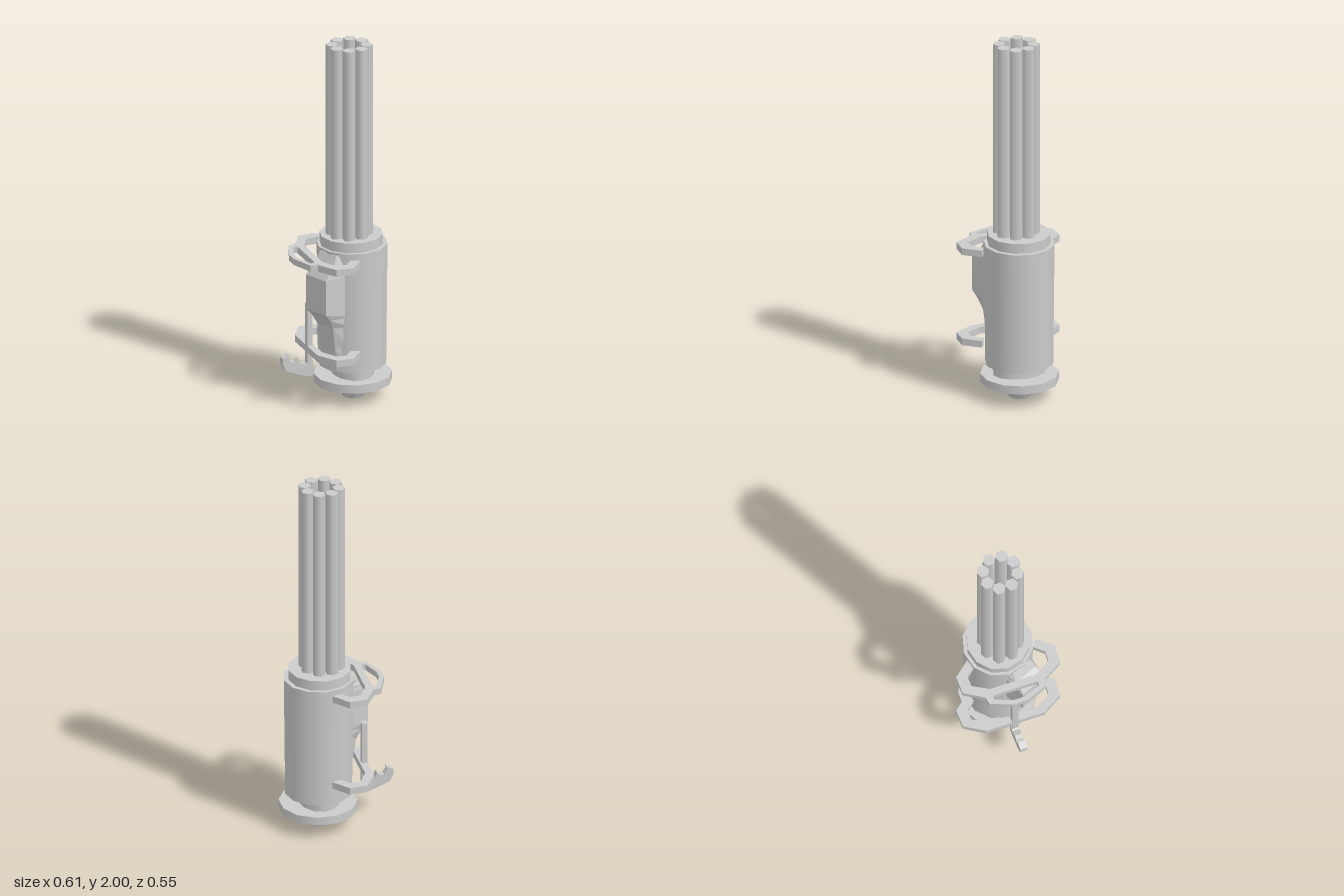
import * as THREE from 'three';

const CX = 0.1, CZ = -0.008; // axis of the housing

export function createModel() {
  const group = new THREE.Group();
  const smooth = new THREE.MeshStandardMaterial({ color: 0xcccccc, side: THREE.DoubleSide });
  const flat = new THREE.MeshStandardMaterial({ color: 0xcccccc, flatShading: true, side: THREE.DoubleSide });

  function add(name, geometry, material = smooth) {
    const mesh = new THREE.Mesh(geometry, material);
    mesh.name = name;
    group.add(mesh);
    return mesh;
  }

  // Upright cylinder between two heights, optionally oval
  function drum(name, rTop, rBottom, y0, y1, { x = CX, z = CZ, sides = 12, turn = 0, squash = 1 } = {}) {
    const geo = new THREE.CylinderGeometry(rTop, rBottom, y1 - y0, sides);
    geo.rotateY(turn).scale(squash, 1, 1).translate(x, (y0 + y1) / 2, z);
    return add(name, geo);
  }

  // Housing, collar, neck and base
  drum('housing', 0.19, 0.183, 0.19, 0.87);
  drum('collar', 0.17, 0.17, 0.86, 0.925, { x: 0.095 });
  drum('neck', 0.146, 0.146, 0.12, 0.2, { squash: 0.75 });
  drum('baseFlange', 0.21, 0.21, 0.085, 0.132, { x: 0.103, turn: Math.PI / 12 });
  drum('baseCone', 0.105, 0.058, 0, 0.09, { x: 0.107 });

  // Ring of eight hexagonal barrels
  for (let i = 0; i < 8; i++) {
    const a = (i + 0.5) * Math.PI / 4;
    drum('barrel', 0.035, 0.035, 0.9, 2, {
      x: 0.081 + 0.092 * Math.cos(a), z: 0.092 * Math.sin(a), sides: 6,
    });
  }

  // Flat bar: outline given for one half as [x, z], mirrored across z = 0
  function mirroredBar(name, outer, inner, y, height) {
    const flip = (pts) => pts.map(([x, z]) => [x, -z]).reverse();
    const outline = [...outer, ...flip(outer), ...inner, ...flip(inner)];
    // the inner half starts at the far end, so the outline closes into a band
    const shape = new THREE.Shape(outline.map(([x, z]) => new THREE.Vector2(x, z)));
    const geo = new THREE.ExtrudeGeometry(shape, { depth: height, bevelEnabled: false });
    geo.rotateX(-Math.PI / 2).translate(0, y, 0);
    return add(name, geo, flat);
  }

  // Two hoop handles around the -x side
  const hoopOuter = [[0.068, -0.19], [-0.005, -0.277], [-0.1, -0.272], [-0.165, -0.163]];
  const hoopInner = [[0.025, 0.165], [-0.02, 0.218], [-0.077, 0.216], [-0.125, 0.128]];
  mirroredBar('upperHandle', hoopOuter, hoopInner, 0.8, 0.038);
  mirroredBar('lowerHandle', hoopOuter, hoopInner, 0.285, 0.038);

  // Small outer loop on the upper handle
  mirroredBar('handleLoop',
    [[-0.14, -0.165], [-0.167, -0.166], [-0.203, -0.158], [-0.249, -0.035]],
    [[-0.14, 0.122], [-0.165, 0.122], [-0.188, 0.126], [-0.224, 0.03]], 0.803, 0.034);

  // Side block: four-cornered sections [y, reach, half width] lofted upwards
  const sections = [
    [0.2, 0.17, 0.05], [0.33, 0.185, 0.055], [0.45, 0.205, 0.06], [0.505, 0.235, 0.07],
    [0.545, 0.272, 0.075], [0.74, 0.272, 0.075], [0.775, 0.25, 0.073], [0.8, 0.212, 0.07], [0.86, 0.18, 0.06],
  ];
  const out = new THREE.Vector2(-0.92, 0.39), side = new THREE.Vector2(0.39, 0.92);
  const pos = [], index = [];
  sections.forEach(([y, reach, w], row) => {
    for (const [d, s] of [[0.12, -0.1], [reach, -w], [reach, w], [0.12, 0.1]]) {
      pos.push(CX + out.x * d + side.x * s, y, out.y * d + side.y * s);
    }
    if (row === 0) return;
    for (let j = 0; j < 4; j++) {
      const a = (row - 1) * 4 + j, b = (row - 1) * 4 + (j + 1) % 4;
      index.push(a, a + 4, b, b, a + 4, b + 4);
    }
  });
  const block = new THREE.BufferGeometry();
  block.setAttribute('position', new THREE.Float32BufferAttribute(pos, 3));
  // sections run against the winding above, so reverse the faces to point outwards
  block.setIndex(index.reverse());
  block.computeVertexNormals();
  orientOutward(block);
  add('sideBlock', block, flat);

  // Rod carrying the hook
  const rod = new THREE.BoxGeometry(0.03, 0.36, 0.034);
  rod.translate(-0.15, 0.38, 0);
  add('hookRod', rod, flat);

  // Hooked catch at the foot of the rod
  const hook = new THREE.Shape([
    [-0.135, 0.152], [-0.17, 0.153], [-0.22, 0.172], [-0.285, 0.198], [-0.306, 0.235], [-0.305, 0.27],
    [-0.268, 0.287], [-0.272, 0.265], [-0.255, 0.243], [-0.235, 0.24], [-0.215, 0.258],
    [-0.205, 0.232], [-0.175, 0.218], [-0.135, 0.24],
  ].map(([x, y]) => new THREE.Vector2(x, y)));
  const hookGeo = new THREE.ExtrudeGeometry(hook, { depth: 0.04, bevelEnabled: false });
  hookGeo.translate(0, 0, -0.02);
  add('hook', hookGeo, flat);

  return group;
}

// Flip all faces if the solid is wound inside out (negative signed volume)
function orientOutward(geo) {
  const p = geo.attributes.position, idx = geo.index.array;
  const centre = new THREE.Vector3(-0.06, 0.6, 0.06);
  const v = [0, 1, 2].map(() => new THREE.Vector3());
  let volume = 0;
  for (let i = 0; i < idx.length; i += 3) {
    v.forEach((q, k) => q.fromBufferAttribute(p, idx[i + k]).sub(centre));
    volume += v[0].dot(v[1].clone().cross(v[2]));
  }
  if (volume < 0) idx.reverse();
  geo.computeVertexNormals();
}
